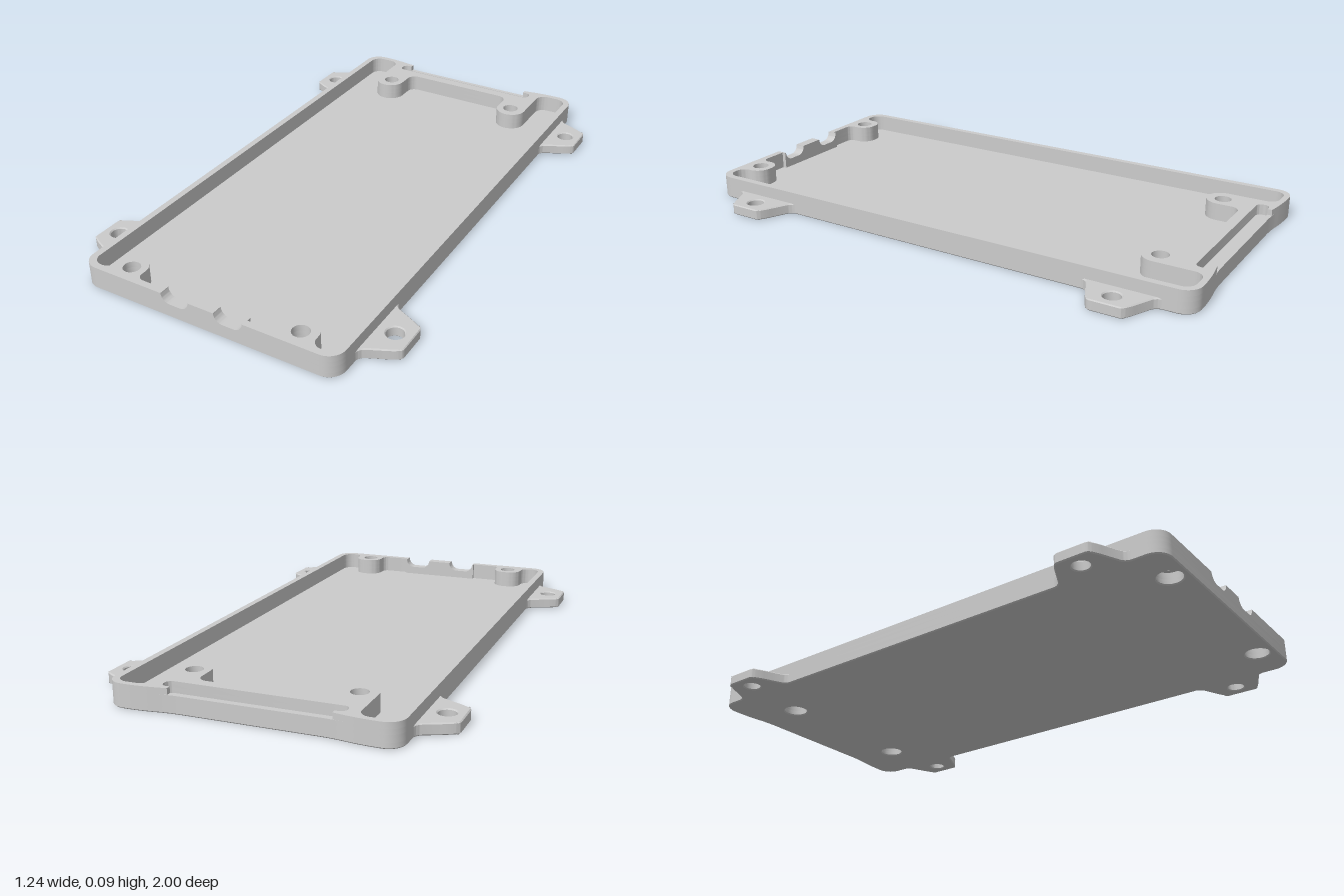
import * as THREE from 'three';
import { toCreasedNormals } from 'three/addons/utils/BufferGeometryUtils.js';

const material = new THREE.MeshStandardMaterial({ color: 0xcccccc });
const mirror = (pts) => pts.map(([x, z, r]) => [-x, z, r]);
const closed = (half) => [...half, ...mirror(half).reverse()];

// Counter-clockwise polygon from [x, z, radius] corners, each corner rounded by its radius
function rounded(corners, Type = THREE.Shape) {
  const path = new Type();
  const clockwise = THREE.ShapeUtils.isClockWise(corners.map(([x, y]) => ({ x, y })));
  const points = clockwise ? [...corners].reverse() : corners;
  const P = points.map(([x, z]) => new THREE.Vector2(x, z));
  points.forEach(([, , r = 0], i) => {
    const c = P[i];
    const prev = P[(i + P.length - 1) % P.length], next = P[(i + 1) % P.length];
    const a = c.clone().add(prev.clone().sub(c).setLength(r));
    const b = c.clone().add(next.clone().sub(c).setLength(r));
    if (i === 0) path.moveTo(a.x, a.y);
    else if (path.currentPoint.distanceTo(a) > 1e-5) path.lineTo(a.x, a.y);
    if (r > 0) {
      const ca = a.clone().lerp(c, 0.552), cb = b.clone().lerp(c, 0.552);
      path.bezierCurveTo(ca.x, ca.y, cb.x, cb.y, b.x, b.y);
    }
  });
  path.closePath();
  return path;
}

const circle = (x, z, r) => new THREE.Path().absarc(x, z, r, 0, Math.PI * 2, true);

// Horizontal slab: plan shape in x and z, between heights y0 and y1
function slab(name, shape, holes, y0, y1, bevel = 0) {
  shape.holes.push(...holes);
  const geo = new THREE.ExtrudeGeometry(shape, {
    depth: y1 - y0 - 2 * bevel, curveSegments: 10, bevelEnabled: bevel > 0,
    bevelSize: bevel, bevelThickness: bevel, bevelOffset: -bevel, bevelSegments: 1,
  });
  geo.rotateX(Math.PI / 2).translate(0, y1 - bevel, 0);
  const mesh = new THREE.Mesh(toCreasedNormals(geo, 0.5), material);
  mesh.name = name;
  return mesh;
}

// Right-hand halves of the plan outlines, running from front to back
const outerHalf = [[0.5, 1, 0.06], [0.5, -1, 0.06], [0.37, -1, 0.05], [0.28, -0.985, 0.04]];
const cavityHalf = [
  [0.165, 0.96], [0.165, 0.975], [0.28, 0.975, 0.025], [0.28, 0.88, 0.05],
  [0.395, 0.88, 0.05], [0.395, 0.975, 0.035], [0.475, 0.975, 0.04],
  [0.475, -0.978, 0.04], [0.355, -0.978, 0.04], [0.355, -0.732, 0.06],
  [0.235, -0.732, 0.06], [0.235, -0.882, 0.035],
];
const slotHalf = [[0.315, -0.968, 0.022], [0.315, -0.921, 0.022]];
const screws = [[0.335, 0.935], [-0.335, 0.935], [0.292, -0.795], [-0.292, -0.795]];

// Wall ring around the cavity, left open at the front centre
const openRing = (half) => rounded(
  [[0.165, 1], ...half, ...mirror(half).reverse(), [-0.165, 1], ...mirror(cavityHalf), ...[...cavityHalf].reverse()]);

export function createModel() {
  const model = new THREE.Group();
  model.name = 'tray';
  const FLOOR = 0.02, BORE = 0.045, STEP = 0.063, TOP = 0.085;
  const outer = () => rounded(closed(outerHalf));
  const cavity = () => rounded(closed(cavityHalf), THREE.Path);
  const slot = () => rounded(closed(slotHalf), THREE.Path);
  const bores = (r) => screws.map(([x, z]) => circle(x, z, r));

  // Floor with chamfered base, and lower walls, with screw-head pockets open below
  model.add(slab('baseEdge', outer(), bores(0.044), 0, 0.01, 0.004));
  model.add(slab('floor', outer(), bores(0.044), 0.004, FLOOR));
  model.add(slab('lowerWall', outer(), [cavity(), ...bores(0.044)], FLOOR, BORE));

  // Middle wall with the back slot, then the rim, cut away along the slot
  model.add(slab('slotWall', openRing(outerHalf), [slot(), ...bores(0.031)], BORE, STEP));
  const rimHalf = [...outerHalf.slice(0, 3), [0.28, -0.985], [0.28, -0.968], ...slotHalf];
  model.add(slab('rim', openRing(rimHalf), bores(0.031), STEP, TOP));

  // Front centre wall with two rounded cable notches
  const notched = [[-0.165, BORE], [0.165, BORE], [0.165, TOP]];
  for (const x of [0.105, -0.105]) {
    notched.push([x + 0.055, TOP], [x + 0.05, 0.052, 0.028], [x - 0.05, 0.052, 0.028], [x - 0.055, TOP]);
  }
  notched.push([-0.165, TOP]);
  const frontGeo = new THREE.ExtrudeGeometry(rounded(notched),
    { depth: 0.04, bevelEnabled: false, curveSegments: 10 });
  const front = new THREE.Mesh(toCreasedNormals(frontGeo.translate(0, 0, 0.96), 0.5), material);
  front.name = 'frontNotchWall';
  model.add(front);

  // Four tapered mounting ears with screw holes
  for (const side of [1, -1]) {
    for (const z of [0.748, -0.752]) {
      const ear = [
        [0.485, -0.14], [0.5, -0.14], [0.505, -0.12, 0.015], [0.598, -0.077, 0.02], [0.622, -0.06, 0.01],
        [0.622, 0.06, 0.01], [0.598, 0.077, 0.02], [0.505, 0.12, 0.015], [0.5, 0.14], [0.485, 0.14],
      ].map(([x, dz, r]) => [side * x, z + dz, r]);
      model.add(slab('mountingEar', rounded(ear), [circle(side * 0.562, z, 0.031)], 0, 0.04, 0.004));
    }
  }
  return model;
}
